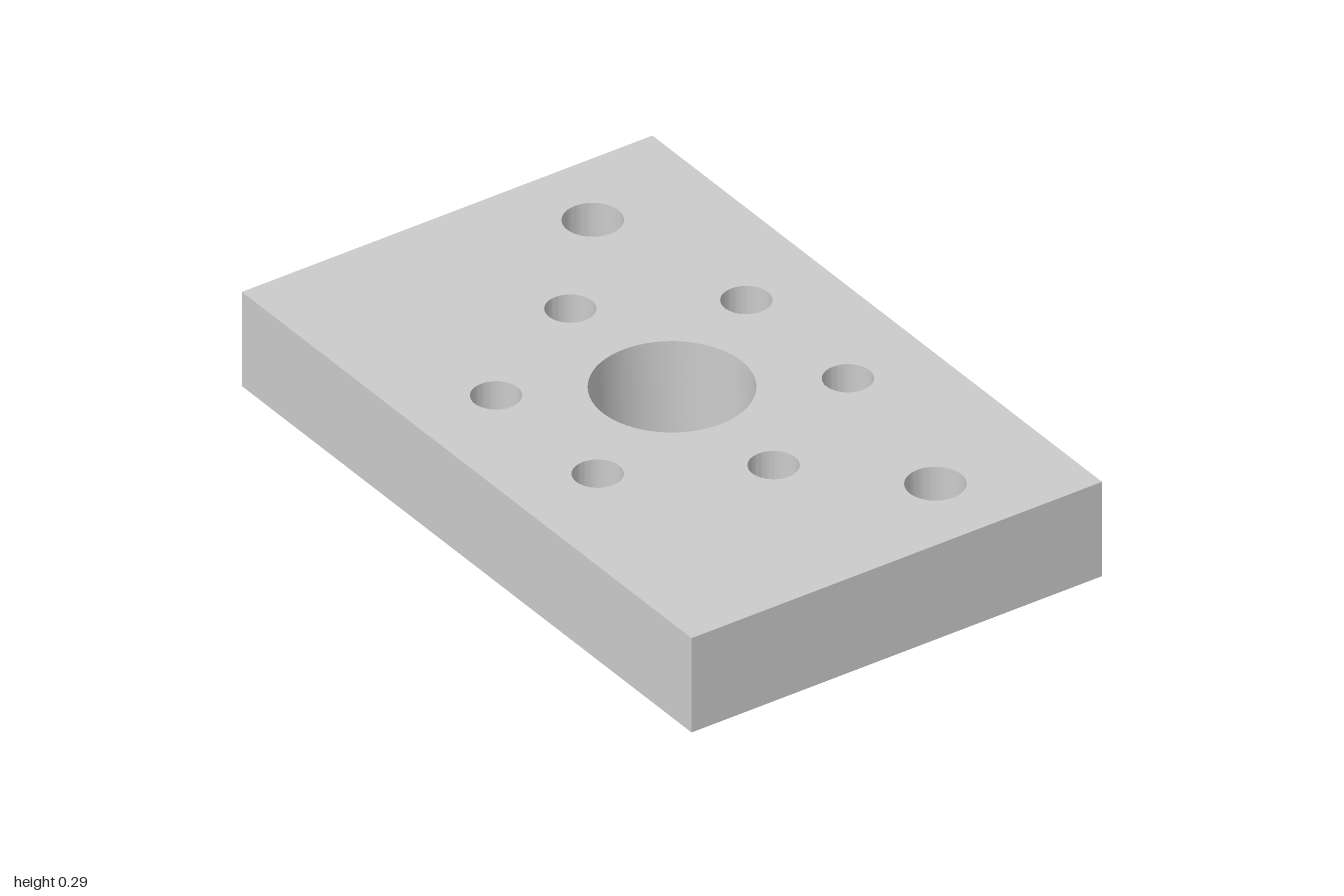
import * as THREE from 'three';
import { toCreasedNormals } from 'three/addons/utils/BufferGeometryUtils.js';

const HALF_WIDTH = 1, HALF_DEPTH = 0.642, THICKNESS = 0.287;

export function createModel() {
  const group = new THREE.Group();
  group.name = 'drilledPlate';

  // Plate outline, drawn with shape y pointing to the back
  const outline = new THREE.Shape([
    new THREE.Vector2(-HALF_WIDTH, -HALF_DEPTH),
    new THREE.Vector2(HALF_WIDTH, -HALF_DEPTH),
    new THREE.Vector2(HALF_WIDTH, HALF_DEPTH),
    new THREE.Vector2(-HALF_WIDTH, HALF_DEPTH),
  ]);

  const drill = (x, y, radius) => {
    outline.holes.push(new THREE.Path().absarc(x, y, radius, 0, Math.PI * 2, true));
  };

  // Central bore
  drill(0, 0, 0.216);

  // Ring of six bolt holes
  for (let i = 0; i < 6; i++) {
    const angle = (i * Math.PI) / 3;
    drill(0.452 * Math.cos(angle), 0.452 * Math.sin(angle), 0.067);
  }

  // Pair of mounting holes towards the back
  for (const side of [-1, 1]) drill(side * 0.762, 0.288, 0.08);

  // Extrude upwards, smooth hole walls with sharp rims
  let geometry = new THREE.ExtrudeGeometry(outline, {
    depth: THICKNESS, bevelEnabled: false, curveSegments: 32,
  });
  geometry.rotateX(-Math.PI / 2);
  geometry = toCreasedNormals(geometry, Math.PI / 6);

  const plate = new THREE.Mesh(geometry, new THREE.MeshStandardMaterial({ color: 0xcccccc }));
  plate.name = 'plate';
  group.add(plate);
  return group;
}
